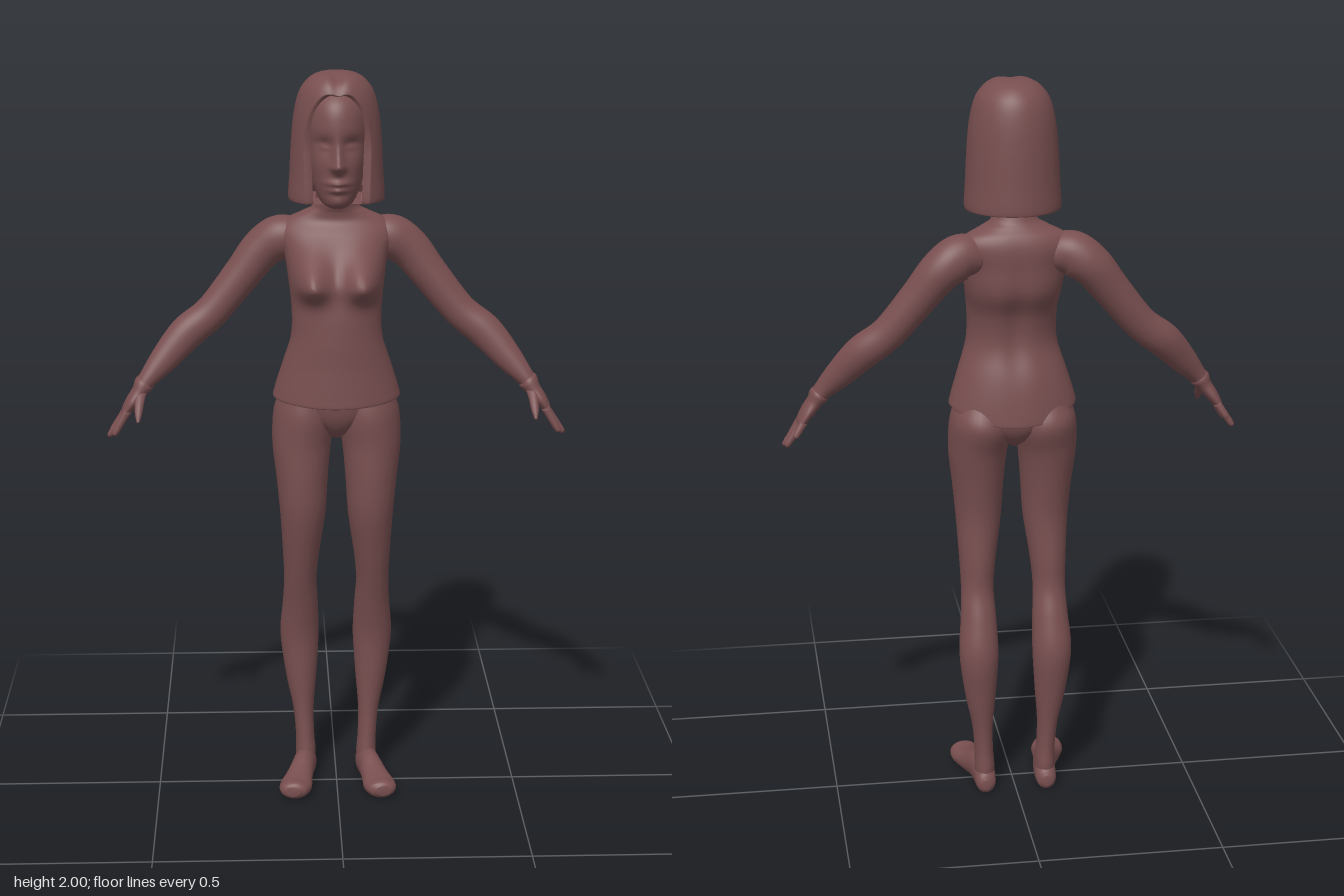
import * as THREE from 'three';
import { mergeVertices } from 'three/addons/utils/BufferGeometryUtils.js';

const Z = new THREE.Vector3(0, 0, 1);
const Y = new THREE.Vector3(0, 1, 0);
const { smoothstep } = THREE.MathUtils;

// Smooth closed loft through rows [x, y, z, width radius, depth radius].
// ref: direction of the depth radius; warp: edits each point; gap: half angle left open at the front.
function loft(rows, { rings = 40, seg = 32, ref = Z, warp, gap } = {}) {
  const path = new THREE.CatmullRomCurve3(rows.map(r => new THREE.Vector3(r[0], r[1], r[2])), false, 'catmullrom');
  const radii = new THREE.CatmullRomCurve3(rows.map(r => new THREE.Vector3(r[3], r[4], 0)), false, 'catmullrom');
  const pos = [], index = [];
  for (let i = -1; i <= rings + 1; i++) {
    const t = Math.min(Math.max(i / rings, 0), 1);
    const cap = (i < 0 && !gap) || i > rings ? 0 : 1;
    const c = path.getPoint(t), r = radii.getPoint(t);
    const side = new THREE.Vector3().crossVectors(ref, path.getTangent(t)).normalize();
    const g = gap ? gap(c.y, r.x) : 0;
    for (let j = 0; j <= seg; j++) {
      const a = Math.PI / 2 + g + (2 * Math.PI - 2 * g) * j / seg;
      const k = cap * (g > 0 && j % seg === 0 ? 0.86 : 1);
      const v = c.clone().addScaledVector(side, k * r.x * Math.cos(a)).addScaledVector(ref, k * r.y * Math.sin(a));
      if (warp) warp(v);
      pos.push(v.x, v.y, v.z);
    }
  }
  const n = seg + 1;
  for (let i = 0; i < rings + 2; i++) for (let j = 0; j < seg; j++) {
    const p = i * n + j;
    index.push(p, p + n, p + 1, p + 1, p + n, p + n + 1);
  }
  let geo = new THREE.BufferGeometry();
  geo.setAttribute('position', new THREE.Float32BufferAttribute(pos, 3));
  geo.setIndex(index);
  geo = mergeVertices(geo, 1e-5);
  geo.computeVertexNormals();
  return geo;
}

const bell = (d, s) => Math.exp(-(d * d) / (2 * s * s));
const bump = (v, x, y, sx, sy, amp) => amp * bell(v.x - x, sx) * bell(v.y - y, sy);

// Bust, spine groove and the dipping hem
function shapeTorso(v) {
  const front = smoothstep(v.z, -0.06, 0.03), back = smoothstep(-v.z, 0.03, 0.1);
  const sy = v.y < 1.45 ? 0.03 : 0.048;
  const bust = bump(v, 0.07, 1.45, 0.036, sy, 0.085) + bump(v, -0.07, 1.45, 0.036, sy, 0.085);
  const hem = 1 - smoothstep(v.y, 1.11, 1.21);
  const s = (v.z + 0.012) / 0.118;
  v.z += front * bust + back * bump(v, 0, 1.36, 0.022, 0.1, 0.014);
  v.y -= hem * s * s * (s > 0 ? 0.014 : 0.045);
}

// Nose, lips, chin, cheeks and eye sockets
function shapeFace(v) {
  if (v.z < 0.02) return;
  let d = bump(v, 0, 1.768, 0.011, 0.013, 0.024) + bump(v, 0, 1.795, 0.009, 0.026, 0.016);
  d += bump(v, 0, 1.724, 0.02, 0.006, 0.014) + bump(v, 0, 1.706, 0.017, 0.006, 0.013);
  d += bump(v, 0, 1.675, 0.02, 0.012, 0.008);
  for (const s of [-1, 1]) {
    d += bump(v, s * 0.036, 1.822, 0.017, 0.013, -0.012) + bump(v, s * 0.036, 1.816, 0.011, 0.006, 0.006);
    d += bump(v, s * 0.05, 1.77, 0.018, 0.02, 0.005) + bump(v, s * 0.013, 1.765, 0.007, 0.006, 0.006);
  }
  v.z += d;
}

// Arched opening of the hair around the face
function faceGap(y, rx) {
  const h = (y - 1.8) / 0.155;
  if (h >= 1) return 0;
  const w = h > 0 ? 0.08 * Math.sqrt(1 - h * h) : 0.08 + 0.05 * (y - 1.8);
  return Math.asin(Math.min(w / rx, 0.95));
}

export function createModel() {
  const model = new THREE.Group();
  model.name = 'woman';
  const brown = new THREE.MeshStandardMaterial({ color: 0x794f50, side: THREE.DoubleSide });
  brown.name = 'dusty brown';
  const add = (parent, name, rows, opt) => {
    const m = new THREE.Mesh(loft(rows, opt), brown);
    m.name = name;
    parent.add(m);
  };

  // Torso with neck
  add(model, 'torso', [
    [0, 1.145, -0.012, 0.145, 0.1], [0, 1.128, -0.012, 0.171, 0.117], [0, 1.155, -0.01, 0.167, 0.116],
    [0, 1.22, -0.003, 0.147, 0.107], [0, 1.3, 0.008, 0.123, 0.097], [0, 1.38, 0, 0.121, 0.1],
    [0, 1.45, -0.03, 0.129, 0.102], [0, 1.52, -0.045, 0.14, 0.09], [0, 1.57, -0.06, 0.155, 0.075],
    [0, 1.602, -0.066, 0.135, 0.06], [0, 1.625, -0.058, 0.09, 0.052], [0, 1.645, -0.048, 0.06, 0.05],
    [0, 1.7, -0.03, 0.052, 0.05], [0, 1.76, -0.02, 0.05, 0.05],
  ], { rings: 90, seg: 72, warp: shapeTorso });

  // Pelvis between the legs
  add(model, 'pelvis', [
    [0, 1.015, -0.018, 0.015, 0.04], [0, 1.04, -0.018, 0.055, 0.075],
    [0, 1.08, -0.018, 0.12, 0.098], [0, 1.14, -0.014, 0.155, 0.105],
  ]);

  // Head
  add(model, 'head', [
    [0, 1.655, 0.065, 0.022, 0.03], [0, 1.67, 0.045, 0.044, 0.064], [0, 1.72, 0.02, 0.067, 0.098],
    [0, 1.8, -0.005, 0.083, 0.122], [0, 1.87, -0.008, 0.088, 0.13], [0, 1.925, -0.012, 0.08, 0.118],
    [0, 1.97, -0.012, 0.045, 0.07],
  ], { rings: 110, seg: 96, warp: shapeFace });

  // Bobbed hair with a slight centre parting
  add(model, 'hair', [
    [0, 1.685, -0.018, 0.11, 0.112], [0, 1.666, -0.018, 0.127, 0.128], [0, 1.74, -0.018, 0.124, 0.128],
    [0, 1.83, -0.017, 0.119, 0.127], [0, 1.9, -0.015, 0.111, 0.123], [0, 1.95, -0.013, 0.097, 0.112],
    [0, 1.98, -0.01, 0.075, 0.092], [0, 1.995, -0.008, 0.05, 0.066], [0, 2, -0.005, 0.022, 0.03],
  ], {
    rings: 100, seg: 72, gap: faceGap,
    warp: v => { if (v.y > 1.94 && v.z > 0) v.y -= 0.012 * bell(v.x, 0.012) * smoothstep(v.z, 0, 0.06); },
  });

  // Limbs, mirrored by a flipped group
  for (const [side, flip] of [['left', 1], ['right', -1]]) {
    const half = new THREE.Group();
    half.name = side + 'Limbs';
    half.scale.x = flip;
    model.add(half);

    add(half, side + 'Leg', [
      [0.082, 1.14, -0.012, 0.07, 0.09], [0.087, 1.08, -0.02, 0.084, 0.108], [0.095, 1, -0.01, 0.08, 0.094],
      [0.094, 0.9, 0, 0.07, 0.084], [0.093, 0.8, 0.002, 0.062, 0.074], [0.098, 0.68, -0.015, 0.05, 0.062],
      [0.1, 0.6, -0.028, 0.045, 0.053], [0.1, 0.52, -0.052, 0.049, 0.055], [0.102, 0.42, -0.074, 0.054, 0.056],
      [0.098, 0.3, -0.07, 0.043, 0.046], [0.092, 0.2, -0.064, 0.029, 0.037], [0.088, 0.12, -0.058, 0.026, 0.037],
      [0.086, 0.07, -0.056, 0.028, 0.041], [0.086, 0.03, -0.056, 0.026, 0.038],
    ], { rings: 80 });

    add(half, side + 'Foot', [
      [0.085, 0.03, -0.106, 0.012, 0.015], [0.086, 0.034, -0.092, 0.027, 0.032], [0.087, 0.042, -0.05, 0.031, 0.045],
      [0.095, 0.045, 0, 0.032, 0.044], [0.107, 0.035, 0.05, 0.038, 0.035], [0.117, 0.03, 0.095, 0.045, 0.028],
      [0.124, 0.032, 0.128, 0.038, 0.025], [0.126, 0.032, 0.142, 0.02, 0.014],
    ], { ref: Y, warp: v => { v.y = Math.max(v.y - 0.005, 0); } });

    add(half, side + 'Arm', [
      [0.09, 1.55, -0.072, 0.045, 0.045], [0.145, 1.55, -0.08, 0.06, 0.058], [0.198, 1.517, -0.087, 0.056, 0.058],
      [0.255, 1.447, -0.079, 0.05, 0.051], [0.335, 1.35, -0.065, 0.046, 0.045], [0.405, 1.293, -0.05, 0.047, 0.045],
      [0.465, 1.228, -0.024, 0.038, 0.037], [0.508, 1.18, -0.004, 0.026, 0.031], [0.526, 1.158, 0, 0.023, 0.031],
    ], { rings: 60 });

    // Hand with a small wrist edge
    add(half, side + 'Hand', [
      [0.512, 1.175, -0.001, 0.022, 0.029], [0.519, 1.166, 0, 0.027, 0.034], [0.532, 1.146, 0.004, 0.021, 0.035],
      [0.55, 1.122, 0.006, 0.018, 0.043], [0.566, 1.098, 0.004, 0.014, 0.042], [0.573, 1.086, 0.003, 0.009, 0.036],
    ]);
    const fingers = [
      ['Index', 0.035, 0.601, 1.034, 0.046], ['Middle', 0.013, 0.617, 1.023, 0.015],
      ['Ring', -0.01, 0.611, 1.03, -0.018], ['Little', -0.03, 0.588, 1.062, -0.043],
    ];
    for (const [name, z, x, y, zt] of fingers) {
      const at = (t, r) => [0.563 + (x - 0.563) * t, 1.1 + (y - 1.1) * t, z + (zt - z) * t, r, r];
      add(half, side + name + 'Finger', [at(0, 0.011), at(0.5, 0.01), at(0.9, 0.008), at(1, 0.003)], { rings: 14, seg: 12 });
    }
    add(half, side + 'Thumb', [
      [0.527, 1.148, 0.02, 0.016, 0.018], [0.53, 1.125, 0.045, 0.013, 0.014],
      [0.532, 1.1, 0.066, 0.01, 0.01], [0.533, 1.08, 0.082, 0.004, 0.004],
    ], { rings: 16, seg: 14 });
  }
  return model;
}
